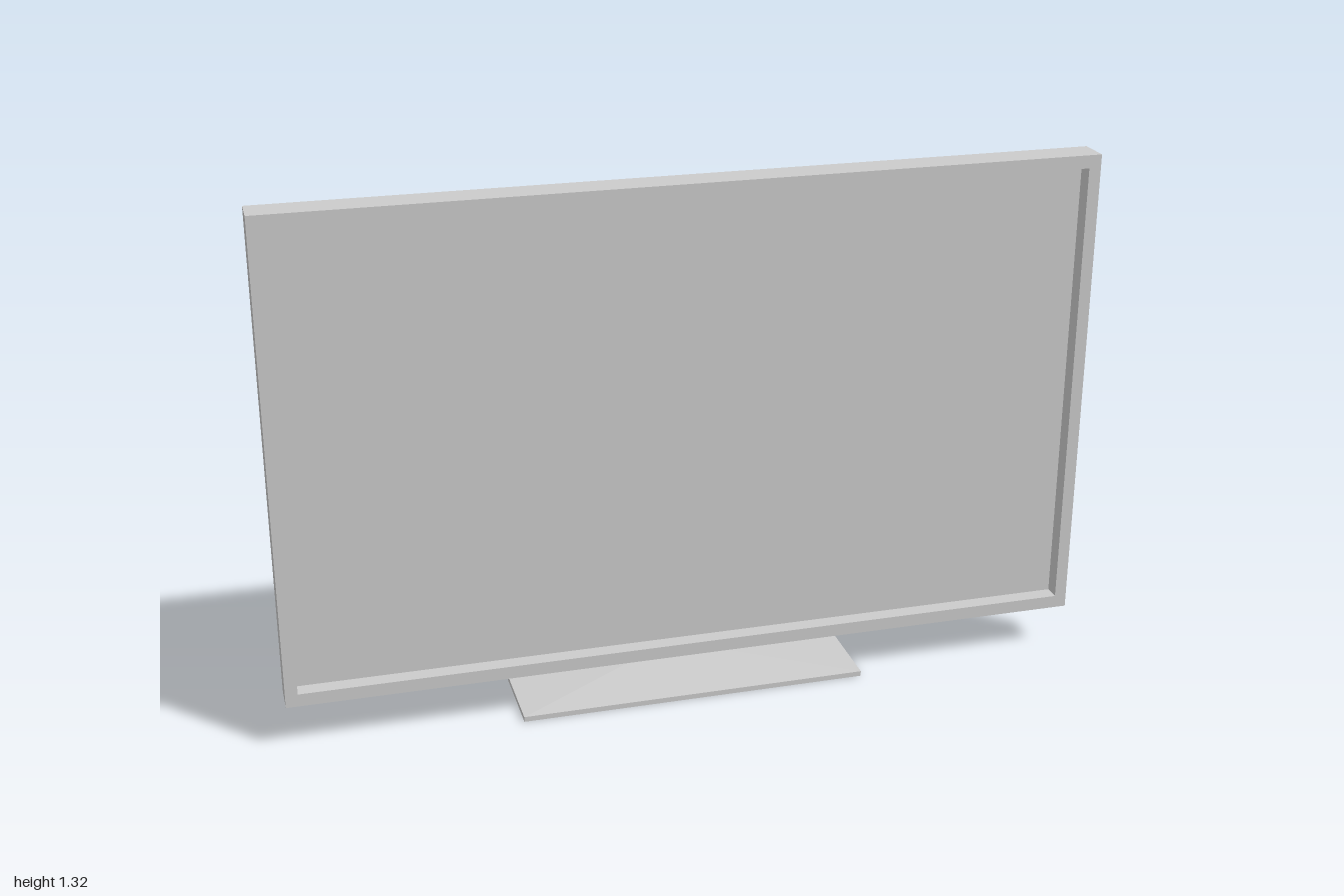
import * as THREE from 'three';

const material = new THREE.MeshStandardMaterial({ color: 0xcccccc, flatShading: true });

// Skin over centred rectangles [halfWidth, halfHeight, z], listed from back to front.
function loftRects(rects, capFront = true) {
  const positions = [];
  const quad = (a, b, c, d) => positions.push(...a, ...b, ...c, ...a, ...c, ...d);
  const rings = rects.map(([w, h, z]) => [[-w, -h, z], [w, -h, z], [w, h, z], [-w, h, z]]);
  for (let r = 0; r < rings.length - 1; r++) {
    const a = rings[r], b = rings[r + 1];
    for (let i = 0; i < 4; i++) {
      const j = (i + 1) % 4;
      quad(a[i], a[j], b[j], b[i]);
    }
  }
  quad(...[...rings[0]].reverse());
  if (capFront) quad(...rings[rings.length - 1]);
  const geometry = new THREE.BufferGeometry();
  geometry.setAttribute('position', new THREE.Float32BufferAttribute(positions, 3));
  geometry.computeVertexNormals();
  return geometry;
}

function box(width, yMin, yMax, zMin, zMax) {
  return new THREE.BoxGeometry(width, yMax - yMin, zMax - zMin)
    .translate(0, (yMin + yMax) / 2, (zMin + zMax) / 2);
}

export function createModel() {
  const model = new THREE.Group();
  model.name = 'monitor';
  const add = (name, geometry) => {
    const mesh = new THREE.Mesh(geometry, material);
    mesh.name = name;
    model.add(mesh);
  };

  // Housing: tapered back, square sides, front bezel and recess walls
  const screenY = 0.715;
  add('housing', loftRects([
    [0.8, 0.4, 0.053],
    [1, 0.6, 0.118],
    [1, 0.6, 0.2],
    [0.97, 0.568, 0.2],
    [0.97, 0.568, 0.16],
  ], false).translate(0, screenY, 0));

  // Recessed display panel
  add('screen', new THREE.PlaneGeometry(1.94, 1.136).translate(0, screenY, 0.16));

  // Stand: mounting bracket, flat post and sloped foot
  add('bracket', box(0.466, 0.685, 0.748, -0.05, 0.053));
  add('post', box(0.166, 0.03, 0.685, -0.016, 0.016));
  add('base', loftRects([
    [0.435, 0.217, 0],
    [0.435, 0.217, 0.013],
    [0.083, 0.016, 0.03],
  ]).rotateX(-Math.PI / 2));

  return model;
}
